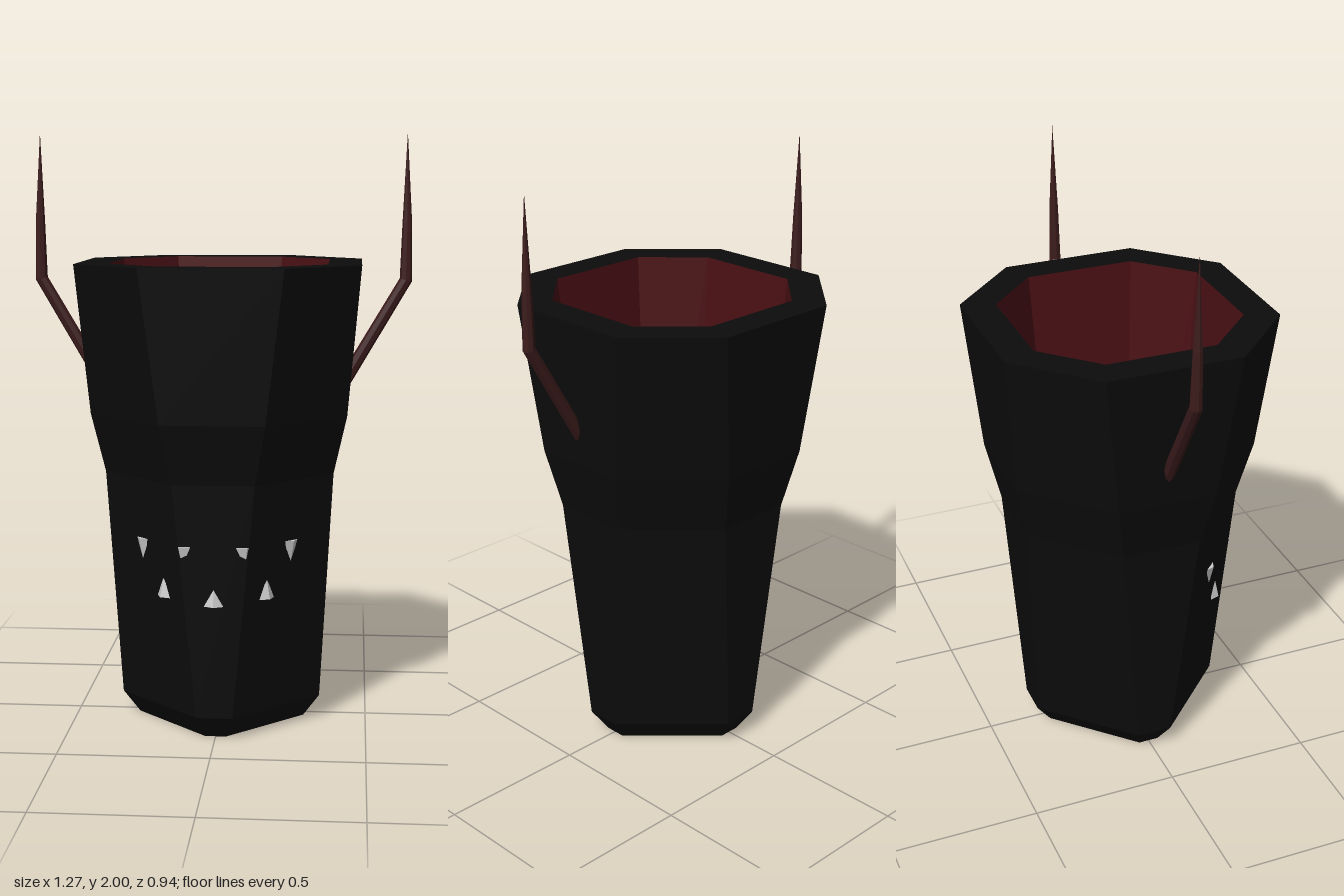
import * as THREE from 'three';

// Skin a list of rings (equal point counts, running from +x towards +z) with flat facets.
function loft(rings) {
  const pos = [];
  const tri = (a, b, c) => {
    if (new THREE.Triangle(a, b, c).getArea() > 1e-9) {
      for (const p of [a, b, c]) pos.push(p.x, p.y, p.z);
    }
  };
  for (let k = 0; k < rings.length - 1; k++) {
    const lo = rings[k], up = rings[k + 1], n = lo.length;
    for (let i = 0; i < n; i++) {
      const j = (i + 1) % n;
      tri(lo[i], up[i], lo[j]);
      tri(lo[j], up[i], up[j]);
    }
  }
  const g = new THREE.BufferGeometry();
  g.setAttribute('position', new THREE.Float32BufferAttribute(pos, 3));
  g.computeVertexNormals();
  return g;
}

// Octagon with sides at distance r from the axis; h is half the width of the axis-facing sides.
function octagon([y, r, h]) {
  return [[r, h], [h, r], [-h, r], [-r, h], [-r, -h], [-h, -r], [h, -r], [r, -h]]
    .map(([x, z]) => new THREE.Vector3(x, y, z));
}

// Round ring for the horn, centred at (x, y) and leaning by the given tilt.
function hornRing([x, y, r, tilt]) {
  return Array.from({ length: 8 }, (_, i) => {
    const a = (i / 8) * Math.PI * 2, u = r * Math.cos(a);
    return new THREE.Vector3(x + u * Math.cos(tilt), y + u * Math.sin(tilt), r * Math.sin(a));
  });
}

export function createModel() {
  const model = new THREE.Group();
  const flat = (color) => new THREE.MeshStandardMaterial({ color, flatShading: true });
  const black = flat(0x0c0c0c), red = flat(0x4a1014), hornRed = flat(0x3d1c1c), white = flat(0xcccccc);
  const add = (name, geometry, material, parent = model) => {
    const mesh = new THREE.Mesh(geometry, material);
    mesh.name = name;
    parent.add(mesh);
    return mesh;
  };

  // Outer wall from the base up to the flat rim: [y, r, h]
  add('cupBody', loft([
    [0, 0, 0], [0, 0.285, 0.035], [0.08, 0.34, 0.06], [0.87, 0.383, 0.135],
    [1.07, 0.427, 0.17], [1.57, 0.47, 0.23], [1.57, 0.36, 0.187],
  ].map(octagon)), black);

  // Inner wall and floor
  add('cupLining', loft([
    [1.57, 0.36, 0.187], [0.1, 0.236, 0.123], [0.1, 0, 0],
  ].map(octagon)), red);

  // Bent, pointed horns on both sides: [x, y, radius, tilt]
  const horn = loft([
    [0.4, 1.14, 0, -0.54], [0.4, 1.14, 0.022, -0.54], [0.617, 1.51, 0.021, -0.27],
    [0.619, 1.7, 0.016, 0], [0.616, 2, 0, 0],
  ].map(hornRing));
  add('leftHorn', horn, hornRed);
  add('rightHorn', horn, hornRed).rotation.y = Math.PI;

  // Two rows of small pointed teeth: [x, y, z, turn, pointing up]
  const teeth = new THREE.Group();
  teeth.name = 'teeth';
  model.add(teeth);
  const toothShape = new THREE.ConeGeometry(0.032, 0.07, 4).scale(1, 1, 0.5);
  const addTooth = (x, y, z, turn, up) => {
    const tooth = add(up ? 'lowerTooth' : 'upperTooth', toothShape, white, teeth);
    tooth.position.set(x, y, z);
    tooth.rotation.set(up ? 0 : Math.PI, turn, 0, 'YXZ');
  };
  addTooth(0, 0.5, 0.361, 0, true);
  for (const s of [1, -1]) {
    addTooth(s * 0.104, 0.63, 0.363, s * Math.PI / 8, false);
    addTooth(s * 0.246, 0.63, 0.238, s * Math.PI / 4, false);
    addTooth(s * 0.17, 0.515, 0.297, s * Math.PI / 4, true);
  }
  return model;
}
